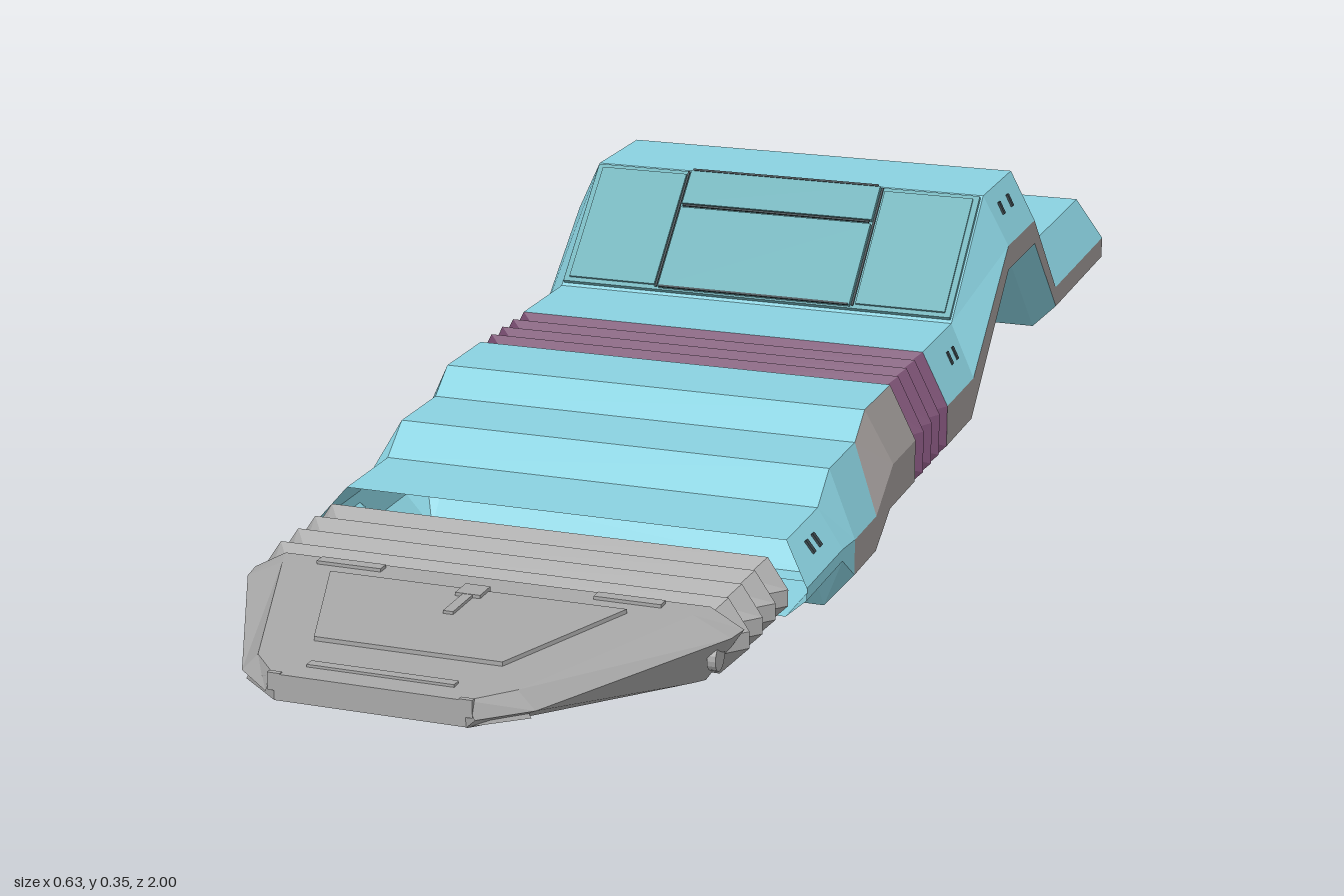
import * as THREE from 'three';

const paint = (name, color) => {
  const m = new THREE.MeshStandardMaterial({ color, side: THREE.DoubleSide, flatShading: true });
  m.name = name;
  return m;
};

export function createModel() {
  const model = new THREE.Group();
  const blue = paint('light blue', 0x8ad2e0);
  const teal = paint('panel teal', 0x6eb0b8);
  const purple = paint('bellows purple', 0x784c70);
  const grey = paint('nose grey', 0xa9a9a9);
  const stripe = paint('stripe grey', 0xa09a98);
  const dark = paint('slot dark', 0x39454a);

  const add = (name, geo, mat, parent = model) => {
    const mesh = new THREE.Mesh(geo, mat);
    mesh.name = name;
    parent.add(mesh);
    return mesh;
  };
  const box = (name, mat, w, h, d, x, y, z, parent) => {
    const mesh = add(name, new THREE.BoxGeometry(w, h, d), mat, parent);
    mesh.position.set(x, y, z);
    return mesh;
  };

  // Skin rings of points, ordered front to back; pick(row, strip) chooses quads
  const loft = (rings, pick = () => true, closed = false) => {
    const pos = [];
    for (let i = 0; i < rings.length - 1; i++) {
      const n = rings[i].length;
      for (let j = 0; j < (closed ? n : n - 1); j++) {
        if (!pick(i, j)) continue;
        const k = (j + 1) % n;
        const [a, b, c, d] = [rings[i][j], rings[i][k], rings[i + 1][k], rings[i + 1][j]];
        pos.push(...a, ...b, ...c, ...a, ...c, ...d);
      }
    }
    const geo = new THREE.BufferGeometry();
    geo.setAttribute('position', new THREE.Float32BufferAttribute(pos, 3));
    geo.computeVertexNormals();
    return geo;
  };

  // Eight-sided tube section: top, upper side, lower side and bottom, each [z, y]
  const section = ([tz, t, uz, u, lz, l, bz, b], wt = 0.28, ws = 0.315, wb = wt) => [
    [-wt, t, tz], [wt, t, tz], [ws, u, uz], [ws, l, lz],
    [wb, b, bz], [-wb, b, bz], [-ws, l, lz], [-ws, u, uz],
  ];

  // Front tube, open at both ends
  const front = [
    [0.45, 0.135, 0.48, 0.09, 0.48, 0.075, 0.45, 0.04],
    [0.33, 0.135, 0.34, 0.09, 0.34, 0.075, 0.33, 0.04],
    [0.285, 0.17, 0.29, 0.085, 0.29, 0.04, 0.30, 0],
    [0.18, 0.17, 0.20, 0.085, 0.20, 0.04, 0.20, 0],
    [0.14, 0.20, 0.13, 0.13, 0.14, 0.075, 0.165, 0.04],
    [0.03, 0.20, 0.03, 0.13, 0.03, 0.075, 0.03, 0.04],
  ].map((s) => section(s));
  const frontGrey = (i, j) => (j === 2 && i >= 2) || (j === 1 && i >= 3);
  add('frontTube', loft(front, (i, j) => !frontGrey(i, j), true), blue);
  add('frontTubeStripe', loft(front, frontGrey, true), stripe);

  // Rear tube with the raised hump and slanted open end
  const rear = [
    [-0.12, 0.20, -0.12, 0.13, -0.12, 0.075, -0.12, 0.04],
    [-0.26, 0.20, -0.25, 0.13, -0.245, 0.075, -0.235, 0.04],
    [-0.41, 0.34, -0.42, 0.27, -0.425, 0.235, -0.43, 0.20],
    [-0.56, 0.34, -0.565, 0.27, -0.57, 0.235, -0.575, 0.20],
    [-0.70, 0.20, -0.705, 0.135, -0.71, 0.105, -0.715, 0.07],
    [-0.97, 0.20, -1, 0.135, -1, 0.105, -1, 0.07],
  ].map((s) => section(s));
  add('rearTube', loft(rear, (i, j) => j !== 2, true), blue);
  add('rearTubeStripe', loft(rear, (i, j) => j === 2, true), stripe);

  // Purple bellows between the tubes
  const folds = [];
  for (let i = 0; i <= 8; i++) {
    const z = 0.03 - (0.15 * i) / 8;
    folds.push(i % 2
      ? section([z, 0.175, z, 0.12, z, 0.085, z, 0.065], 0.25, 0.28, 0.225)
      : section([z, 0.20, z, 0.13, z, 0.075, z, 0.04]));
  }
  add('middleBellows', loft(folds, undefined, true), purple);

  // Grey nose bellows: roof and left wall only
  const noseFolds = [];
  for (let i = 0; i <= 8; i++) {
    const z = 0.48 + (0.185 * (8 - i)) / 8;
    const d = i % 2 ? 0 : 0.02;
    noseFolds.push([
      [-0.3 + d, 0.095, z], [-0.275 + d, 0.132 - d, z], [0.275 - d, 0.132 - d, z],
      [0.3 - d, 0.095, z], [0.3 - d, 0.075, z], [0.265 - d, 0.04 + d / 2, z],
    ]);
  }
  add('noseBellows', loft(noseFolds), grey);

  // Nose shell: roof, left wall and blunt tip
  const noseRing = (z, w, top, edgeY, bx, by) => [
    [-w, edgeY, z], [-top, 0.126, z], [top, 0.126, z], [w, edgeY, z], [bx, by, z],
  ];
  add('noseShell', loft([
    noseRing(1, 0.12, 0.11, 0.105, 0.11, 0.095),
    noseRing(0.955, 0.17, 0.15, 0.105, 0.145, 0.092),
    noseRing(0.69, 0.295, 0.25, 0.104, 0.25, 0.045),
    noseRing(0.66, 0.3, 0.26, 0.104, 0.255, 0.038),
  ]), grey);
  add('noseTip', loft([
    [[-0.165, 0.096, 0.955], [-0.11, 0.096, 1], [0.11, 0.096, 1], [0.165, 0.096, 0.955]],
    [[-0.15, 0.126, 0.955], [-0.11, 0.126, 1], [0.11, 0.126, 1], [0.15, 0.126, 0.955]],
  ]), grey);

  // Nose hatch, latch and trim
  const hatch = new THREE.Shape([[-0.18, -0.71], [0.18, -0.71], [0.11, -0.9], [-0.11, -0.9]]
    .map(([x, y]) => new THREE.Vector2(x, y)));
  const hatchGeo = new THREE.ExtrudeGeometry(hatch, { depth: 0.005, bevelEnabled: false });
  add('noseHatch', hatchGeo.rotateX(-Math.PI / 2).translate(0, 0.126, 0), grey);
  box('hatchLatch', grey, 0.03, 0.006, 0.03, 0, 0.132, 0.72);
  box('hatchLatchBar', grey, 0.012, 0.005, 0.08, 0, 0.132, 0.75);
  box('tipTrim', grey, 0.17, 0.004, 0.012, 0, 0.127, 0.965);
  for (const s of [-1, 1]) {
    box('tipLug', grey, 0.015, 0.02, 0.006, s * 0.11, 0.117, 1 - 0.003);
    box('noseHinge', grey, 0.08, 0.006, 0.015, s * 0.17, 0.127, 0.675);
  }
  const boss = add('noseBoss', new THREE.CylinderGeometry(0.016, 0.016, 0.01, 16), grey);
  boss.position.set(0.277, 0.08, 0.69);
  boss.rotation.z = -Math.PI / 2;

  // Panelled cover on the front slope of the hump
  const cover = new THREE.Group();
  cover.name = 'humpCover';
  cover.position.set(0, 0.27, -0.335);
  cover.rotation.x = -Math.atan2(0.15, 0.14);
  model.add(cover);
  box('coverBase', teal, 0.555, 0.195, 0.006, 0, 0, 0.003, cover);
  for (const s of [-1, 1]) box('sidePanel', teal, 0.125, 0.182, 0.006, s * 0.207, 0, 0.006, cover);
  box('lowerPanel', teal, 0.275, 0.13, 0.01, 0, -0.03, 0.007, cover);
  box('upperPanel', teal, 0.275, 0.055, 0.01, 0, 0.069, 0.007, cover);
  for (const y of [-0.095, 0.038, 0.097]) box('seam', dark, 0.27, 0.003, 0.002, 0, y, 0.012, cover);
  for (const s of [-1, 1]) box('sideSeam', dark, 0.003, 0.19, 0.002, s * 0.141, 0, 0.0095, cover);

  // Patches above and below the rear deck
  for (const y of [0.2, 0.07]) {
    box('widePatch', teal, 0.155, 0.004, 0.11, -0.145, y, -0.915);
    box('narrowPatch', teal, 0.06, 0.004, 0.2, 0.138, y, -0.87);
  }

  // Small vent slots on the left upper chamfers
  for (const [y, z] of [[0.313, -0.455], [0.313, -0.5], [0.17, -0.2], [0.17, -0.225], [0.115, 0.41], [0.115, 0.385]]) {
    const x = z > 0 ? 0.296 : 0.294;
    box('ventSlot', dark, 0.005, 0.018, 0.007, x, y, z).rotation.z = z > 0 ? 0.66 : 0.46;
  }
  return model;
}
